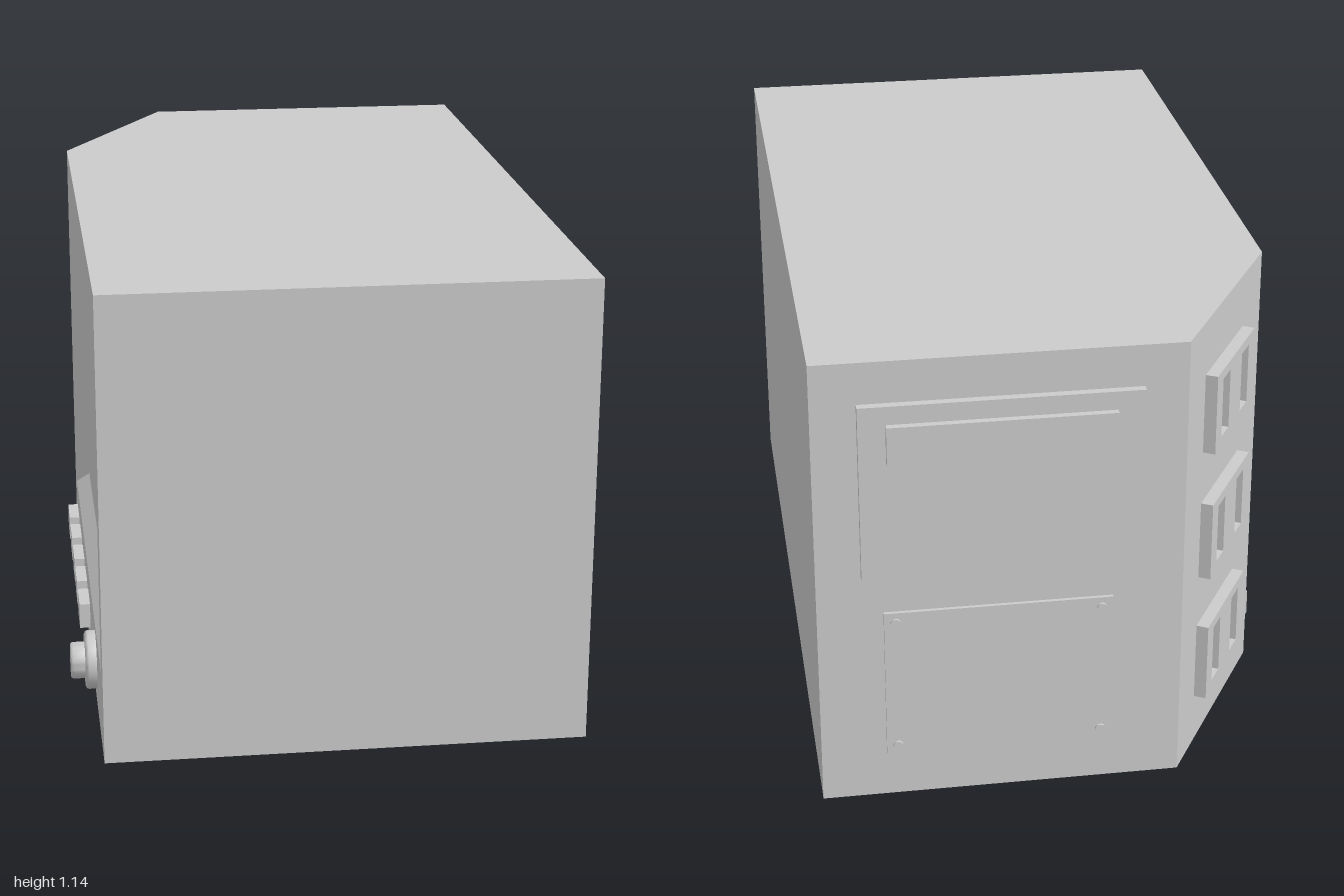
import * as THREE from 'three';
import { toCreasedNormals } from 'three/addons/utils/BufferGeometryUtils.js';

const H = 1.137;                        // cabinet height
const LEFT = 0.605, RIGHT = -0.545;     // side walls in x
const BACK = -0.963, FRONT = 1;         // end walls in z
const CUT_X = -0.257, CUT_Z = -0.463;   // chamfered corner
const RECESS = 0.035;                   // depth of the screen recess

const material = new THREE.MeshStandardMaterial({ color: 0xcccccc });

function add(parent, name, geometry, x = 0, y = 0, z = 0) {
  const mesh = new THREE.Mesh(geometry, material);
  mesh.name = name;
  mesh.position.set(x, y, z);
  parent.add(mesh);
  return mesh;
}

// Box given by its limits on each axis
function addBox(parent, name, [x0, x1], [y0, y1], [z0, z1]) {
  return add(parent, name, new THREE.BoxGeometry(x1 - x0, y1 - y0, z1 - z0),
    (x0 + x1) / 2, (y0 + y1) / 2, (z0 + z1) / 2);
}

// Rectangle of corners at a given x, in order as seen from -x
const rectLoop = (x, z0, z1, y0, y1) => [[x, y0, z0], [x, y0, z1], [x, y1, z1], [x, y1, z0]];

// Flat quads between successive four-cornered loops
function loopsGeometry(loops) {
  const positions = [];
  for (let k = 0; k < loops.length - 1; k++) {
    for (let i = 0; i < 4; i++) {
      const j = (i + 1) % 4;
      const [a, b, c, d] = [loops[k][i], loops[k][j], loops[k + 1][j], loops[k + 1][i]];
      positions.push(...a, ...b, ...c, ...a, ...c, ...d);
    }
  }
  const geometry = new THREE.BufferGeometry();
  geometry.setAttribute('position', new THREE.Float32BufferAttribute(positions, 3));
  geometry.computeVertexNormals();
  return geometry;
}

function rectPath(PathType, cx, cy, w, h) {
  const [x, y] = [w / 2, h / 2];
  return new PathType([[-x, -y], [x, -y], [x, y], [-x, y]]
    .map(([px, py]) => new THREE.Vector2(cx + px, cy + py)));
}

export function createModel() {
  const model = new THREE.Group();
  model.name = 'instrumentCabinet';

  // Cabinet prism, stopping at the floor of the screen recess
  const innerX = RIGHT + RECESS;
  const innerZ = CUT_Z - RECESS * (CUT_Z - BACK) / (CUT_X - RIGHT);
  const footprint = new THREE.Shape(
    [[innerX, FRONT], [LEFT, FRONT], [LEFT, BACK], [CUT_X, BACK], [innerX, innerZ]]
      .map(([x, z]) => new THREE.Vector2(x, -z)));
  const cabinet = new THREE.ExtrudeGeometry(footprint, { depth: H, bevelEnabled: false });
  add(model, 'cabinet', cabinet.rotateX(-Math.PI / 2));

  // Side frame with a bevelled opening around the screen
  add(model, 'screenFrame', loopsGeometry([
    rectLoop(innerX, innerZ, FRONT, 0, H),
    rectLoop(RIGHT, CUT_Z, FRONT, 0, H),
    rectLoop(RIGHT, -0.383, 0.92, 0.197, 1.03),
    rectLoop(innerX, -0.343, 0.88, 0.235, 0.992),
  ]));
  const screen = add(model, 'screen', new THREE.PlaneGeometry(1.223, 0.757), innerX - 0.001, 0.6135, 0.2685);
  screen.rotation.y = -Math.PI / 2;

  // Row of push buttons below the screen
  for (let i = 0; i < 5; i++) {
    const z = -0.322 + i * 0.156;
    addBox(model, 'button', [-0.572, RIGHT], [0.065, 0.13], [z - 0.0525, z + 0.0525]);
  }

  // Stepped control knob with softened rims
  const profile = [[0.072, 0], [0.072, 0.019], [0.07, 0.024], [0.064, 0.027], [0.045, 0.027],
    [0.045, 0.056], [0.043, 0.06], [0.039, 0.062], [0, 0.062]].map(p => new THREE.Vector2(...p));
  const knob = add(model, 'knob', toCreasedNormals(new THREE.LatheGeometry(profile, 40), 0.8),
    RIGHT, 0.102, 0.635);
  knob.rotation.z = Math.PI / 2;

  // Three sockets, each with two slots, on the chamfered corner
  const socketShape = rectPath(THREE.Shape, 0, 0, 0.302, 0.2);
  for (const x of [-0.076, 0.076]) socketShape.holes.push(rectPath(THREE.Path, x, 0, 0.057, 0.15));
  const socketGeometry = new THREE.ExtrudeGeometry(socketShape, { depth: 0.03, bevelEnabled: false });
  const sockets = new THREE.Group();
  sockets.name = 'sockets';
  sockets.position.set((CUT_X + RIGHT) / 2 + 0.005, 0, (BACK + CUT_Z) / 2 - 0.009);
  sockets.rotation.y = Math.atan2(BACK - CUT_Z, RIGHT - CUT_X);
  sockets.rotation.y = Math.atan2(-(CUT_Z - BACK), -(CUT_X - RIGHT));
  for (const y of [0.9, 0.565, 0.23]) add(sockets, 'socket', socketGeometry, 0, y, 0);
  model.add(sockets);

  // Upper back panel with a raised bar
  addBox(model, 'upperPanel', [-0.155, 0.5], [0.597, 1.035], [-0.983, BACK]);
  addBox(model, 'panelBar', [-0.09, 0.437], [0.895, 0.99], [-1, -0.983]);

  // Lower back cover held by four screws
  addBox(model, 'lowerCover', [-0.09, 0.45], [0.117, 0.5], [-0.972, BACK]);
  for (const x of [-0.063, 0.423]) {
    for (const y of [0.14, 0.474]) {
      const screw = add(model, 'screw', new THREE.CylinderGeometry(0.012, 0.012, 0.006, 20), x, y, -0.975);
      screw.rotation.x = -Math.PI / 2;
    }
  }

  return model;
}
